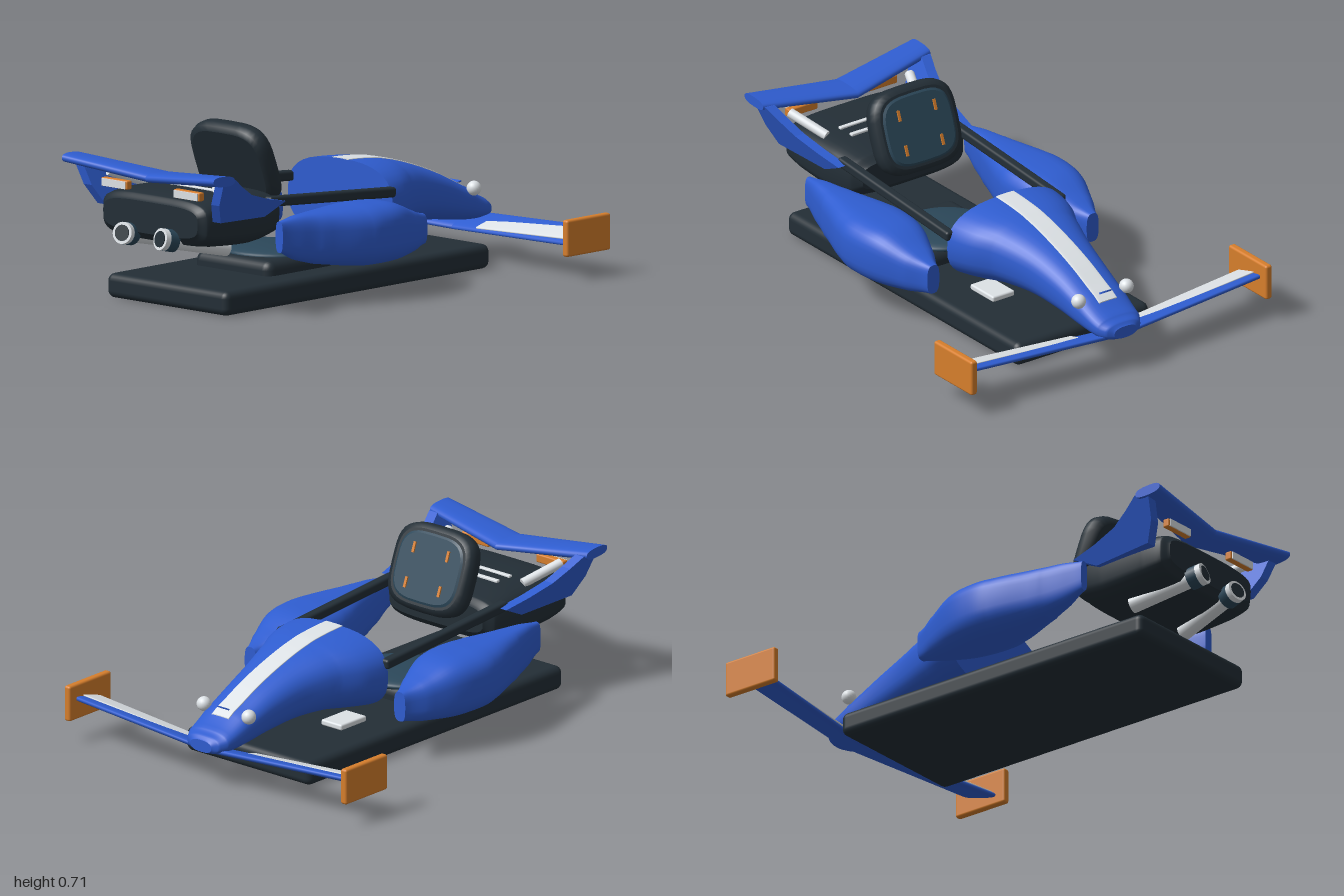
import * as THREE from 'three';
import { RoundedBoxGeometry } from 'three/addons/geometries/RoundedBoxGeometry.js';

const V = (x, y, z) => new THREE.Vector3(x, y, z);
const material = (name, color) => {
  const m = new THREE.MeshStandardMaterial({ color });
  m.name = name;
  return m;
};

// Closed skin over a list of equal-length rings, with flat end caps
function loft(rings) {
  const n = rings[0].length, pos = [], idx = [];
  const push = p => { pos.push(p.x, p.y, p.z); return pos.length / 3 - 1; };
  rings.forEach(r => r.forEach(push));
  for (let i = 0; i < rings.length - 1; i++) for (let j = 0; j < n; j++) {
    const a = i * n + j, b = i * n + (j + 1) % n;
    idx.push(a, b, a + n, b, b + n, a + n);
  }
  [rings[0], rings[rings.length - 1]].forEach((ring, end) => {
    const mid = ring.reduce((s, p) => s.add(p), V(0, 0, 0)).divideScalar(n);
    const c = push(mid), first = c + 1;
    ring.forEach(push);
    for (let j = 0; j < n; j++) {
      const a = first + j, b = first + (j + 1) % n;
      end ? idx.push(c, a, b) : idx.push(c, b, a);
    }
  });
  const g = new THREE.BufferGeometry();
  g.setAttribute('position', new THREE.Float32BufferAttribute(pos, 3));
  g.setIndex(idx);
  g.computeVertexNormals();
  return g;
}

// Points of a rounded-square curve; power 2 is an ellipse
function superellipse(power, n = 36) {
  const bend = v => Math.sign(v) * Math.abs(v) ** (2 / power);
  return Array.from({ length: n }, (_, j) => {
    const a = j / n * Math.PI * 2;
    return [bend(Math.cos(a)), bend(Math.sin(a))];
  });
}

// Rows are [z, halfWidth, bottom, top], in rising z
const loftZ = (rows, power, cx = 0) => loft(rows.map(([z, w, lo, hi]) =>
  superellipse(power).map(([u, v]) => V(cx + u * w, (lo + hi) / 2 + v * (hi - lo) / 2, z))));

// Smoothly resample rows
function smooth(rows, steps = 6) {
  const out = [], last = rows.length - 1;
  for (let i = 0; i < last; i++) for (let k = 0; k < steps; k++) {
    const t = k / steps, p = j => rows[Math.min(last, Math.max(0, j))];
    out.push(rows[i].map((_, c) => {
      const a = p(i - 1)[c], b = p(i)[c], d = p(i + 1)[c], e = p(i + 2)[c];
      if (c === 0) return b + (d - b) * t;
      return b + 0.5 * t * (d - a + t * (2 * a - 5 * b + 4 * d - e + t * (3 * (b - d) + e - a)));
    }));
  }
  out.push(rows[last]);
  return out;
}

// Half wing; each end is [x, zFront, zBack, yFront, yBack]
function wing(s, root, tip, thick, power) {
  const ends = s > 0 ? [root, tip] : [tip, root];
  return loft(ends.map(([x, z0, z1, y0, y1]) => superellipse(power, 24).map(([u, v]) => {
    const t = (v + 1) / 2;
    return V(s * x, y0 + (y1 - y0) * t + u * thick / 2, z0 + (z1 - z0) * t);
  })));
}

export function createModel() {
  const blue = material('body blue', 0x2f5dd0), white = material('trim white', 0xdde2e6);
  const dark = material('dark rubber', 0x232e36), teal = material('seat teal', 0x2b4759);
  const orange = material('orange', 0xd67e2c);
  const model = new THREE.Group();
  model.name = 'racer';

  const add = (name, geo, mat, x = 0, y = 0, z = 0, parent = model) => {
    const m = new THREE.Mesh(geo, mat);
    m.name = name;
    m.position.set(x, y, z);
    parent.add(m);
    return m;
  };
  const box = (w, h, d, r) => new RoundedBoxGeometry(w, h, d, 3, r);
  const rod = (name, a, b, r, mat) => {
    const m = add(name, new THREE.CylinderGeometry(r, r, a.distanceTo(b), 20), mat);
    m.position.copy(a).lerp(b, 0.5);
    m.quaternion.setFromUnitVectors(V(0, 1, 0), b.clone().sub(a).normalize());
  };

  // Base and seat
  add('basePlatform', box(0.67, 0.1, 1.55, 0.03), dark, 0, 0.05, 0.055);
  add('seatBase', box(0.42, 0.1, 0.39, 0.04), dark, 0, 0.11, 0.255);
  add('seatCushion', new THREE.SphereGeometry(1, 36, 18).scale(0.205, 0.035, 0.19), teal, 0, 0.16, 0.22);
  const seatBack = new THREE.Group();
  seatBack.name = 'seatBack';
  seatBack.position.set(0, 0.54, 0.42);
  seatBack.rotation.x = 0.36;
  model.add(seatBack);
  const pad = [[-0.04, 0.18], [-0.03, 0.2], [0, 0.205], [0.03, 0.2], [0.04, 0.18]];
  add('seatBackShell', loftZ(pad.map(([z, w]) => [z, w, 0.025 - w, w - 0.025]), 3.6), dark, 0, 0, 0, seatBack);
  add('seatBackPanel', loftZ([[-0.046, 0.16, -0.135, 0.135], [-0.038, 0.172, -0.147, 0.147]], 3.6), teal, 0, 0, 0, seatBack);
  for (const x of [-0.09, 0.09]) for (const y of [-0.075, 0.07])
    add('seatMark', new THREE.BoxGeometry(0.012, 0.045, 0.008), orange, x, y, -0.048, seatBack);

  // Nose with centre stripe
  const nose = smooth([
    [-1, 0.055, 0.15, 0.2], [-0.985, 0.085, 0.145, 0.215], [-0.95, 0.108, 0.14, 0.235],
    [-0.85, 0.122, 0.145, 0.29], [-0.7, 0.137, 0.165, 0.36], [-0.55, 0.165, 0.182, 0.415],
    [-0.4, 0.215, 0.182, 0.455], [-0.3, 0.265, 0.17, 0.47], [-0.19, 0.29, 0.155, 0.477]]);
  add('nose', loftZ(nose, 2.6), blue);
  const stripe = nose.filter(r => r[0] > -0.885).map(([z, , , top]) => [z, 0.045, top - 0.006, top + 0.003]);
  add('noseStripe', loftZ(stripe, 5), white);
  const badge = add('noseSpot', new THREE.CylinderGeometry(0.035, 0.035, 0.006, 3), blue, 0, 0.293, -0.85);
  badge.rotation.set(0.48, 0, 0);

  // Rear engine housing and its vents
  add('engineHousing', loftZ(smooth([
    [0.43, 0.25, 0.31, 0.43], [0.47, 0.285, 0.275, 0.455], [0.6, 0.3, 0.252, 0.473],
    [0.8, 0.3, 0.262, 0.475], [0.89, 0.29, 0.28, 0.465], [0.92, 0.26, 0.31, 0.44]]), 4), dark);
  for (const z of [0.62, 0.695]) add('engineVent', box(0.335, 0.012, 0.02, 0.004), white, 0, 0.476, z);

  const podRows = smooth([
    [-0.245, 0.03, 0.17, 0.295], [-0.15, 0.08, 0.152, 0.325], [-0.02, 0.133, 0.138, 0.375],
    [0.1, 0.153, 0.137, 0.386], [0.2, 0.142, 0.143, 0.386], [0.4, 0.078, 0.172, 0.383],
    [0.5, 0.045, 0.2, 0.38], [0.59, 0.02, 0.24, 0.368]]);
  // Strut outline as [z, y]
  const strutLine = [[0.48, 0.43], [0.6, 0.455], [0.72, 0.49], [0.8, 0.535], [0.86, 0.575],
    [0.93, 0.565], [0.915, 0.47], [0.87, 0.39], [0.59, 0.378]];

  for (const s of [-1, 1]) {
    const p = (x, y, z) => V(s * x, y, z);
    add('sidePod', loftZ(podRows, 3, s * 0.4), blue);
    add('headlight', new THREE.SphereGeometry(0.03, 20, 14), white, s * 0.12, 0.285, -0.845);
    add('pedal', box(0.11, 0.025, 0.155, 0.008), white, s * 0.12, 0.113, -0.267);

    // Cockpit side bar
    const bar = add('cockpitBar', box(0.042, 0.042, 0.74, 0.012), dark, s * 0.28, 0.4, 0.165);
    bar.rotation.x = -0.075;

    // Front wing half, its top panel and end plate
    add('frontWing', wing(s, [0, -0.98, -0.84, 0.155, 0.11], [0.735, -0.935, -0.765, 0.185, 0.137], 0.028, 3), blue);
    add('frontWingPanel', wing(s, [0.15, -0.9, -0.825, 0.148, 0.128], [0.728, -0.892, -0.784, 0.188, 0.156], 0.009, 5), white);
    add('frontWingEndPlate', box(0.032, 0.15, 0.255, 0.01), orange, s * 0.74, 0.17, -0.848);

    // Rear wing half and strut
    add('rearWing', wing(s, [0, 0.79, 0.95, 0.535, 0.54], [0.42, 0.87, 0.995, 0.573, 0.58], 0.042, 2.6), blue);
    const strut = new THREE.ExtrudeGeometry(
      new THREE.Shape(strutLine.map(([z, y]) => new THREE.Vector2(-z, y))), { depth: 0.045, bevelEnabled: false });
    strut.rotateY(Math.PI / 2);
    const q = strut.attributes.position;
    for (let i = 0; i < q.count; i++)
      q.setX(i, q.getX(i) - 0.022 + s * (0.3 + 0.4 * (q.getY(i) - 0.4) + 0.06 * (q.getZ(i) - 0.5)));
    strut.computeVertexNormals();
    add('rearWingStrut', strut, blue);
    rod('rearBrace', p(0.235, 0.465, 0.69), p(0.3, 0.525, 0.85), 0.02, white);

    // Tail lamp
    add('tailLamp', box(0.145, 0.036, 0.03, 0.006), orange, s * 0.2, 0.493, 0.908);
    add('tailLampLens', new THREE.BoxGeometry(0.13, 0.03, 0.006), white, s * 0.2, 0.493, 0.925);

    // Exhaust pipe with collar and outlet
    const a = p(0.165, 0.24, 0.65), b = p(0.105, 0.31, 0.975), at = t => a.clone().lerp(b, t);
    rod('exhaustPipe', a, at(0.85), 0.034, white);
    rod('exhaustCollar', at(0.8), at(0.93), 0.046, teal);
    rod('exhaustOutlet', at(0.93), b, 0.045, white);
    rod('exhaustOpening', at(0.98), at(1.01), 0.033, dark);
  }
  return model;
}
